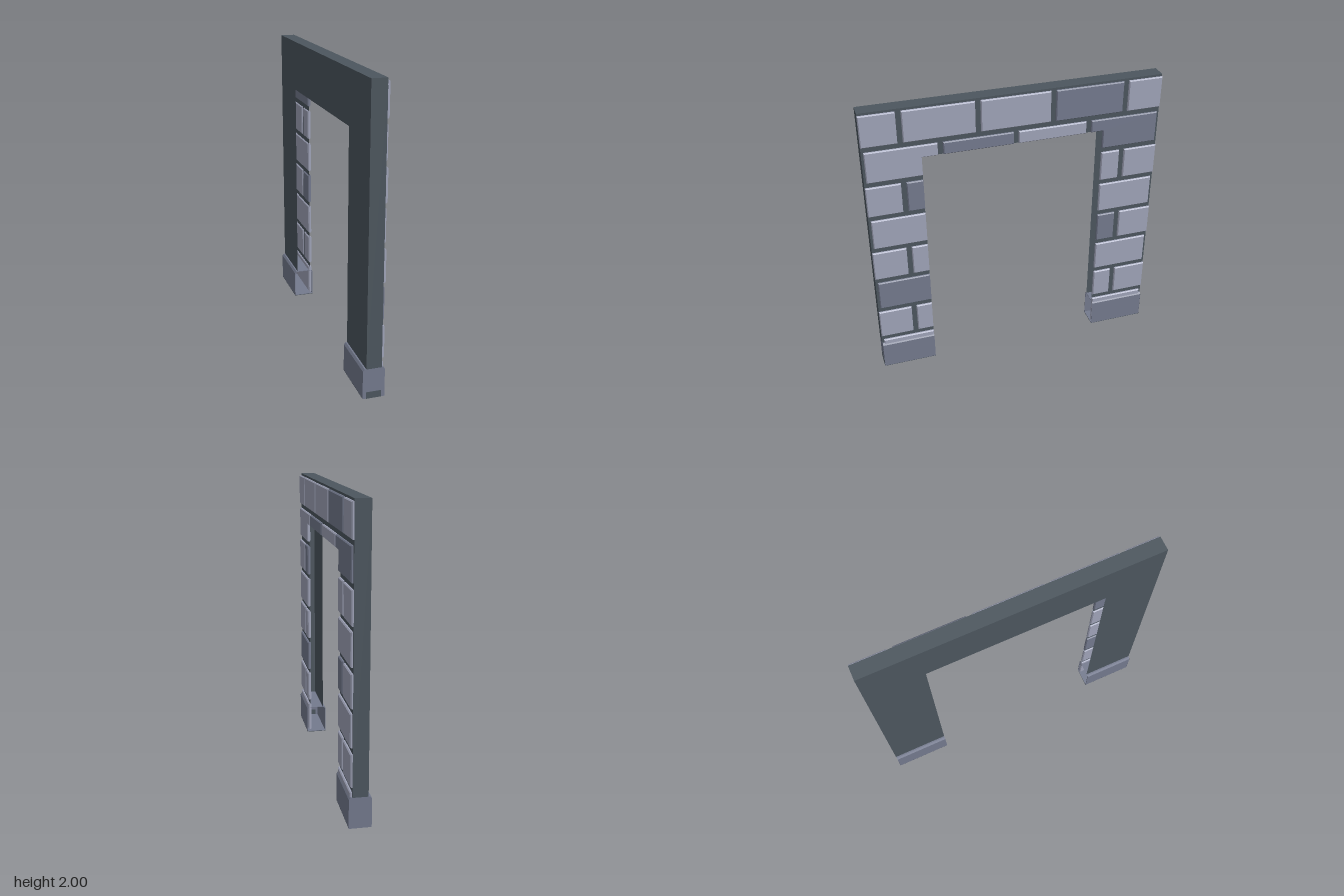
import * as THREE from 'three';

const DOOR_L = 0.625, DOOR_R = -0.6, DOOR_TOP = 1.65, BASE_TOP = 0.205, WALL = 0.05;

export function createModel() {
  const mat = (name, color) => {
    const m = new THREE.MeshStandardMaterial({ color, side: THREE.DoubleSide });
    m.name = name;
    return m;
  };
  const light = mat('lightStone', 0xa0a4b9);
  const dark = mat('darkStone', 0x747a8e);
  const mortar = mat('mortar', 0x4c565e);

  const model = new THREE.Group();
  model.name = 'brickDoorway';
  const add = (name, geo, material, x = 0, y = 0, z = 0, parent = model) => {
    const m = new THREE.Mesh(geo, material);
    m.name = name;
    m.position.set(x, y, z);
    parent.add(m);
    return m;
  };
  // Outline given as [z, y] pairs, turned to face +x
  const outline = (pts) => new THREE.Shape(pts.map(([z, y]) => new THREE.Vector2(-z, y)));

  // Hollow wall: front and back sheets, two ends and a top, open towards the doorway
  const arch = outline([[1, BASE_TOP], [DOOR_L, BASE_TOP], [DOOR_L, DOOR_TOP], [DOOR_R, DOOR_TOP],
    [DOOR_R, BASE_TOP], [-1, BASE_TOP], [-1, 2], [1, 2]]);
  const wall = new THREE.Group();
  wall.name = 'wall';
  model.add(wall);
  add('mortarFace', new THREE.ShapeGeometry(arch).rotateY(Math.PI / 2), mortar, WALL, 0, 0, wall);
  // mirrored in z by the turn, so swing it back to keep the doorway aligned
  const back = new THREE.ShapeGeometry(arch).scale(-1, 1, 1).rotateY(-Math.PI / 2);
  back.setIndex([...back.index.array].reverse());
  back.computeVertexNormals();
  add('backFace', back, mortar, -WALL, 0, 0, wall);
  const endH = 2 - BASE_TOP;
  add('frontEnd', new THREE.PlaneGeometry(2 * WALL, endH), mortar, 0, BASE_TOP + endH / 2, 1, wall);
  add('backEnd', new THREE.PlaneGeometry(2 * WALL, endH).rotateY(Math.PI), mortar, 0, BASE_TOP + endH / 2, -1, wall);
  add('wallTop', new THREE.PlaneGeometry(2 * WALL, 2).rotateX(-Math.PI / 2), mortar, 0, 2, 0, wall);

  // Bricks: bevelled outlines that pass through the mortar sheet
  const bricks = new THREE.Group();
  bricks.name = 'bricks';
  model.add(bricks);
  const brick = (pts, material) => {
    const geo = new THREE.ExtrudeGeometry(outline(pts), {
      depth: 0.01, bevelThickness: 0.007, bevelSize: 0.006, bevelOffset: -0.006, bevelSegments: 1,
    }).rotateY(Math.PI / 2);
    add('brick', geo, material, 0.048, 0, 0, bricks);
  };
  const block = (z1, z0, y0, y1, material) =>
    brick([[z1, y0], [z0, y0], [z0, y1], [z1, y1]], material);

  // Top course
  [[1, 0.77, light], [0.735, 0.27, light], [0.235, -0.23, light], [-0.265, -0.73, dark], [-0.765, -1, light]]
    .forEach(([a, b, m]) => block(a, b, 1.77, 1.985, m));

  // Lintel course, its corner bricks notched around the doorway
  brick([[0.985, 1.52], [DOOR_L, 1.52], [DOOR_L, DOOR_TOP], [0.52, DOOR_TOP], [0.52, 1.735], [0.985, 1.735]], light);
  block(0.485, 0.02, DOOR_TOP, 1.735, dark);
  block(-0.015, -0.48, DOOR_TOP, 1.735, light);
  brick([[-0.515, DOOR_TOP], [DOOR_R, DOOR_TOP], [DOOR_R, 1.52], [-0.985, 1.52], [-0.985, 1.735], [-0.515, 1.735]], dark);

  // Jamb courses: split pairs alternate with single bricks
  [[0.27, light, light], [0.77, light, dark], [1.27, dark, light]].forEach(([y, l, r]) => {
    block(1, 0.77, y, y + 0.215, light);
    block(0.735, DOOR_L, y, y + 0.215, l);
    block(DOOR_R, -0.73, y, y + 0.215, r);
    block(-0.765, -1, y, y + 0.215, light);
  });
  [[0.02, light], [0.52, dark], [1.02, light]].forEach(([y, l]) => {
    block(0.985, DOOR_L, y, y + 0.215, l);
    block(DOOR_R, -0.985, y, y + 0.215, light);
  });

  // Plinths: hollow sleeves with a bevelled top, open on the doorway side
  const profile = (w, top, y0) => [[-w, y0], [w, y0], [w, top - 0.014], [w - 0.012, top], [-w + 0.012, top], [-w, top - 0.014]]
    .map(([x, y]) => new THREE.Vector2(x, y));
  const plinth = (name, z0, z1, capZ) => {
    const g = new THREE.Group();
    g.name = name;
    model.add(g);
    const sleeve = new THREE.Shape(profile(0.072, BASE_TOP, 0.003));
    sleeve.holes.push(new THREE.Path(profile(0.068, BASE_TOP - 0.004, 0.006)));
    add('plinthSleeve', new THREE.ExtrudeGeometry(sleeve, { depth: z1 - z0, bevelEnabled: false }), dark, 0, 0, z0, g);
    const cap = new THREE.ShapeGeometry(new THREE.Shape(profile(0.072, BASE_TOP, 0)));
    if (capZ < 0) cap.rotateY(Math.PI);
    add('plinthEnd', cap, dark, 0, 0, capZ, g);
    add('plinthFloor', new THREE.BoxGeometry(0.143, 0.003, z1 - z0), mortar, 0, 0.0015, (z0 + z1) / 2, g);
  };
  plinth('leftPlinth', DOOR_L, 0.997, 0.998);
  plinth('rightPlinth', -0.997, DOOR_R, -0.998);
  add('footPlate', new THREE.BoxGeometry(2 * WALL, 0.045, 0.003), mortar, 0, 0.0225, 0.9985);

  return model;
}
